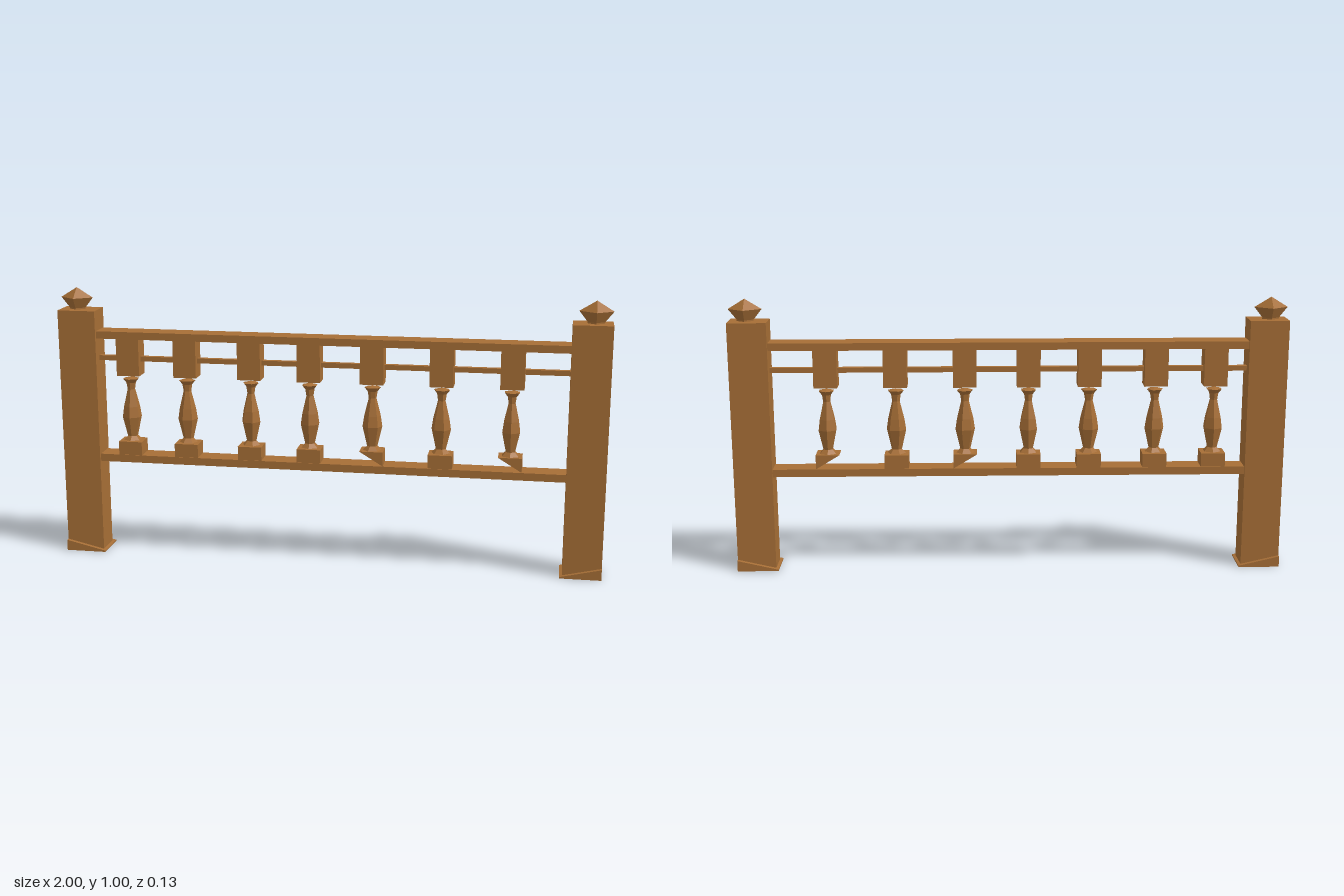
import * as THREE from 'three';

const wood = new THREE.MeshStandardMaterial({ color: 0xa66e36, flatShading: true });
wood.name = 'wood';

function add(parent, name, geometry, x = 0, y = 0, z = 0) {
  const mesh = new THREE.Mesh(geometry, wood);
  mesh.name = name;
  mesh.position.set(x, y, z);
  parent.add(mesh);
  return mesh;
}

// Box given by its centre x, bottom, top, width and depth
function block(parent, name, x, y0, y1, width, depth) {
  return add(parent, name, new THREE.BoxGeometry(width, y1 - y0, depth), x, (y0 + y1) / 2);
}

// Prism with a profile in x and y, centred on z = 0
function prism(points, depth) {
  const shape = new THREE.Shape(points.map(([x, y]) => new THREE.Vector2(x, y)));
  return new THREE.ExtrudeGeometry(shape, { depth, bevelEnabled: false }).translate(0, 0, -depth / 2);
}

// Faceted turning from [radius, height] pairs, bottom to top
function turned(profile, sides) {
  return new THREE.LatheGeometry(profile.map(([r, y]) => new THREE.Vector2(r, y)), sides);
}

function makePost(side) {
  const post = new THREE.Group();
  post.name = side > 0 ? 'leftPost' : 'rightPost';
  block(post, 'postShaft', side * 0.93, 0, 0.92, 0.14, 0.1);

  // Sloping foot, tall on the outer side
  const foot = [[1, 0], [1, 0.04], [0.85, 0.005], [0.85, 0]].map(([x, y]) => [side * x, y]);
  add(post, 'postFoot', prism(foot, 0.13));

  // Pointed finial, wider along the railing than across it
  const finial = add(post, 'finial',
    turned([[0, 0.915], [0.03, 0.917], [0.03, 0.925], [0.06, 0.963], [0, 1]], 4), side * 0.94);
  finial.scale.z = 0.75;
  return post;
}

function makeBaluster(x, i) {
  const baluster = new THREE.Group();
  baluster.name = 'baluster' + (i + 1);
  baluster.position.x = x;
  block(baluster, 'topBlock', 0, 0.68, 0.82, 0.085, 0.07);

  // Vase-shaped spindle, turned a little differently each time
  const spindle = add(baluster, 'spindle', turned([
    [0, 0.425], [0.034, 0.432], [0.019, 0.447], [0.036, 0.52],
    [0.03, 0.56], [0.014, 0.625], [0.018, 0.65], [0.03, 0.665], [0, 0.672],
  ], 6));
  spindle.rotation.y = i * 0.7;

  // Foot block; two of them are cut to wedges
  if (i === 4 || i === 6) {
    add(baluster, 'footWedge', prism([[-0.043, 0.432], [0.043, 0.38], [0.043, 0.432]], 0.075));
  } else {
    block(baluster, 'footBlock', 0, 0.375, 0.43, 0.088, 0.075);
  }
  return baluster;
}

export function createModel() {
  const railing = new THREE.Group();
  railing.name = 'railing';

  for (const side of [-1, 1]) railing.add(makePost(side));

  // Rails between the posts
  block(railing, 'topRail', 0, 0.818, 0.845, 1.73, 0.08);
  block(railing, 'middleRod', 0, 0.732, 0.75, 1.73, 0.02);
  block(railing, 'bottomRail', 0, 0.352, 0.38, 1.73, 0.08);

  [-0.745, -0.53, -0.29, -0.07, 0.16, 0.41, 0.66].forEach((x, i) => railing.add(makeBaluster(x, i)));
  return railing;
}
